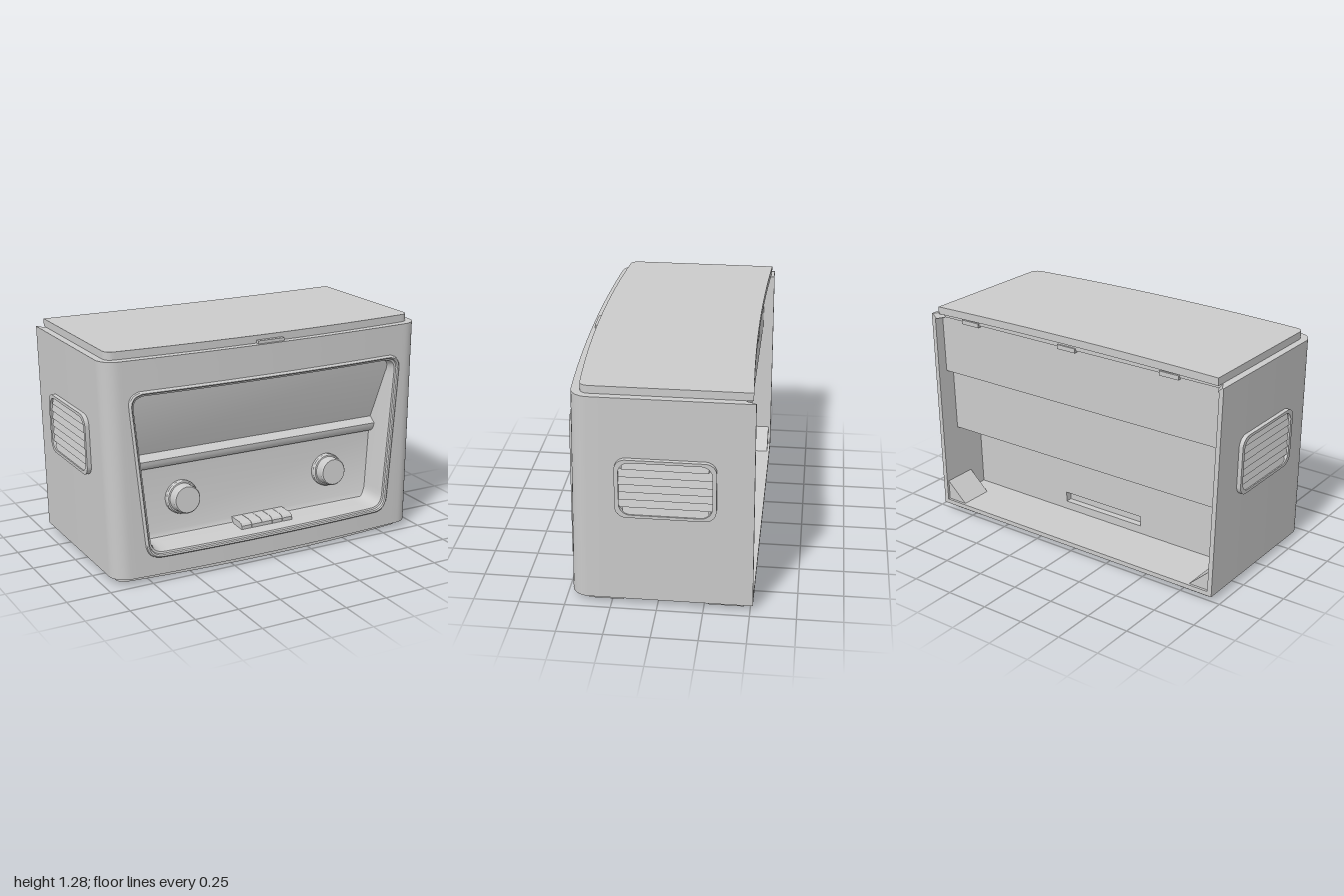
import * as THREE from 'three';
import { toCreasedNormals } from 'three/addons/utils/BufferGeometryUtils.js';

const material = new THREE.MeshStandardMaterial({ color: 0xcccccc, side: THREE.DoubleSide });

function add(parent, name, geometry, x = 0, y = 0, z = 0) {
  const mesh = new THREE.Mesh(geometry, material);
  mesh.name = name;
  mesh.position.set(x, y, z);
  parent.add(mesh);
  return mesh;
}
const box = (w, h, d) => new THREE.BoxGeometry(w, h, d);

// Cabinet half-width and bowed front surface with round vertical corners
const BOTTOM = 0.036, TOP = 1.24, CORNER = 0.09;
const width = (y) => 0.956 + 0.03 * (y - BOTTOM) / (TOP - BOTTOM);
function frontZ(x, y) {
  const w = width(y);
  const a = THREE.MathUtils.clamp(w - Math.abs(x), 0, CORNER);
  const round = CORNER - Math.sqrt(CORNER ** 2 - (CORNER - a) ** 2);
  return 0.502 - 0.025 * (y - BOTTOM) - 0.037 * (x / w) ** 2 - round;
}

// Rounded trapezoid loop, counter-clockwise, samples packed near the corners
function ring(y0, y1, w0, w1, r) {
  const n = 24, points = [];
  const W = (w0 + w1) / 2, H = (y1 - y0) / 2;
  for (let side = 0; side < 4; side++) {
    for (let i = 0; i < n; i++) {
      const s = Math.sin((i / n - 0.5) * Math.PI);
      const [u, v] = [[s, -1], [1, s], [-s, 1], [-1, -s]][side];
      let x = u * W, y = v * H;
      const cx = THREE.MathUtils.clamp(x, r - W, W - r);
      const cy = THREE.MathUtils.clamp(y, r - H, H - r);
      const d = Math.hypot(x - cx, y - cy);
      if (x !== cx && y !== cy) {
        x = cx + (x - cx) / d * r;
        y = cy + (y - cy) / d * r;
      }
      x *= (w0 + (w1 - w0) * (y / H + 1) / 2) / W;
      points.push({ x, y: y + (y0 + y1) / 2, u, v });
    }
  }
  return points;
}
const opening = (d) => ring(0.133 + d, 1.072 - d, 0.772 - d, 0.857 - d, 0.075 - d * 0.4);
const cabinetRing = (d, dy) => ring(BOTTOM + dy, TOP - dy, width(BOTTOM) - d, width(TOP) - d, 0);
const lift = (loop, rule) => loop.map((p) => new THREE.Vector3(p.x, p.y, rule(p)));

// Skin a list of closed loops
function loft(loops) {
  const n = loops[0].length, index = [];
  for (let i = 0; i < loops.length - 1; i++) {
    for (let j = 0; j < n; j++) {
      const k = (j + 1) % n;
      const a = i * n + j, b = a + n, c = (i + 1) * n + k, d = i * n + k;
      index.push(a, b, c, a, c, d);
    }
  }
  const geometry = new THREE.BufferGeometry().setFromPoints(loops.flat());
  geometry.setIndex(index);
  return toCreasedNormals(geometry, 0.6);
}

// Flat slab from a plan with bowed front, round front corners and hollowed back
function slab(w, back, corner, bow, r, hollow, height) {
  const s = new THREE.Shape();
  s.moveTo(-w, -back);
  s.lineTo(-w, -corner + r);
  s.quadraticCurveTo(-w, -corner, -w + r, -corner - 0.004);
  s.quadraticCurveTo(0, -corner - 2 * bow, w - r, -corner - 0.004);
  s.quadraticCurveTo(w, -corner, w, -corner + r);
  s.lineTo(w, -back);
  s.quadraticCurveTo(0, -back - 2 * hollow, -w, -back);
  const g = new THREE.ExtrudeGeometry(s, { depth: height, bevelEnabled: false, curveSegments: 16 });
  return toCreasedNormals(g.rotateX(-Math.PI / 2), 0.5);
}

// Block with a (z, y) profile running across the cabinet
function acrossBlock(profile, halfWidth) {
  const s = new THREE.Shape(profile.map(([z, y]) => new THREE.Vector2(-z, y)));
  const g = new THREE.ExtrudeGeometry(s, { depth: 2, bevelEnabled: false });
  g.translate(0, 0, -1).rotateY(Math.PI / 2);
  const p = g.attributes.position;
  for (let i = 0; i < p.count; i++) p.setX(i, p.getX(i) * halfWidth(p.getY(i)));
  return toCreasedNormals(g, 0.5);
}

const polygon = (Type, points) => new Type(points.map(([x, y]) => new THREE.Vector2(x, y)));

function roundedRect(target, w, h, r) {
  const x = w / 2, y = h / 2;
  target.absarc(x - r, y - r, r, 0, Math.PI / 2);
  target.absarc(r - x, y - r, r, Math.PI / 2, Math.PI);
  target.absarc(r - x, r - y, r, Math.PI, Math.PI * 1.5);
  target.absarc(x - r, r - y, r, Math.PI * 1.5, Math.PI * 2);
  target.closePath();
  return target;
}

export function createModel() {
  const radio = new THREE.Group();
  radio.name = 'tableRadio';

  // Cabinet: front around the opening, round corners, outer walls, open back, inner walls
  const onFront = (p) => frontZ(p.x, p.y);
  const hole = opening(0.02), flatEdge = cabinetRing(CORNER, 0);
  const face = [0, 0.33, 0.67].map((t) => lift(hole.map((p, i) => ({
    x: p.x + (flatEdge[i].x - p.x) * t,
    y: p.y + (flatEdge[i].y - p.y) * t,
  })), onFront));
  for (let i = 0; i <= 8; i++) {
    face.push(lift(cabinetRing(CORNER * (1 - Math.sin(i / 8 * Math.PI / 2)), 0), onFront));
  }
  const backZ = (p) => (p.v === 1 && Math.abs(p.u) < 0.97 ? -0.455 : -0.515 + 0.008 * p.y);
  const inner = cabinetRing(0.026, 0.026);
  add(radio, 'cabinet', loft([...face, lift(cabinetRing(0, 0), backZ), lift(inner, backZ), lift(inner, () => 0.3)]));

  // Raised bezel and the walls of the recess: [inset, height above the front]
  const bezel = [[0.044, -0.25], [0.037, -0.04], [0.03, -0.004], [0.021, 0], [0.018, 0.012],
    [0.011, 0.017], [0.004, 0.011], [0, -0.005]];
  add(radio, 'bezel', loft(bezel.map(([d, h]) => lift(opening(d), (p) => onFront(p) + h))));

  // Recessed front panel: sloping dial, overhanging bar, knob panel, curved sill
  add(radio, 'frontPanel', acrossBlock([
    [0.1, 0.1], [0.45, 0.1], [0.45, 0.148], [0.4, 0.154], [0.35, 0.165], [0.32, 0.18], [0.307, 0.205],
    [0.285, 0.575], [0.305, 0.581], [0.32, 0.594], [0.328, 0.612], [0.33, 0.632], [0.285, 0.662],
    [0.405, 1.045], [0.405, 1.1], [0.1, 1.1],
  ], () => 0.84));

  // Inner housing seen through the open back
  add(radio, 'innerHousing', acrossBlock([
    [0.25, 0.05], [-0.15, 0.05], [-0.15, 0.4], [-0.19, 0.4], [-0.19, 0.43], [-0.198, 0.46],
    [-0.22, 0.482], [-0.25, 0.49], [-0.39, 0.495], [-0.39, 0.875], [-0.445, 0.875], [-0.445, 1.23], [0.25, 1.23],
  ], (y) => width(y) - 0.015));

  // Slotted plate at the back of the housing
  const plate = polygon(THREE.Shape, [[-0.94, 0.05], [0.94, 0.05], [0.94, 0.4], [-0.94, 0.4]]);
  plate.holes.push(polygon(THREE.Path, [[-0.27, 0.11], [-0.27, 0.17], [0.27, 0.17], [0.27, 0.11]]));
  add(radio, 'slottedPlate', new THREE.ExtrudeGeometry(plate, { depth: 0.045, bevelEnabled: false }), 0, 0, -0.19);

  // Lid, its front catch and the rear clips
  add(radio, 'lid', slab(0.945, -0.49, 0.39, 0.04, 0.05, 0.025, 0.043), 0, TOP, 0);
  add(radio, 'lidCatch', box(0.16, 0.022, 0.03), 0, 1.246, 0.44);
  for (const x of [-0.63, 0.04, 0.73]) add(radio, 'lidClip', box(0.12, 0.025, 0.03), x, 1.215, -0.45);

  // Knobs, tilted with their panel
  for (const x of [-0.48, 0.465]) {
    const knob = new THREE.Group();
    knob.name = 'knob';
    const profile = [[0, 0], [0.095, 0], [0.095, 0.022], [0.088, 0.032], [0.081, 0.034],
      [0.079, 0.085], [0.073, 0.093], [0, 0.093]].map(([r, y]) => new THREE.Vector2(r, y));
    add(knob, 'knobBody', toCreasedNormals(new THREE.LatheGeometry(profile, 40), 0.6));
    knob.position.set(x, 0.386, 0.295);
    knob.rotation.x = Math.PI / 2 - 0.1;
    radio.add(knob);
  }

  // Row of five keys
  for (let i = -2; i <= 2; i++) {
    add(radio, 'key', acrossBlock([[-0.08, -0.035], [0.04, -0.035], [0.04, 0], [0.03, 0.012],
      [0.01, 0.018], [-0.08, 0.018]], () => 0.032), i * 0.066, 0.191, 0.385);
  }

  for (const s of [1, -1]) {
    // Side grille: flat frame with louvres
    const grille = new THREE.Group();
    grille.name = 'sideGrille';
    const frame = roundedRect(new THREE.Shape(), 0.53, 0.342, 0.06);
    frame.holes.push(roundedRect(new THREE.Path(), 0.487, 0.308, 0.06));
    add(grille, 'grilleFrame', toCreasedNormals(new THREE.ExtrudeGeometry(frame, {
      depth: 0.03, bevelEnabled: false, curveSegments: 8,
    }), 0.5));
    for (let i = 0; i < 7; i++) {
      const louvre = add(grille, 'louvre', box(i % 6 ? 0.487 : 0.45, 0.046, 0.008), 0, (i - 3) * 0.0445, 0.014);
      louvre.rotation.x = -0.25;
    }
    grille.position.set(s * 0.967, 0.731, -0.05);
    grille.rotation.set(0.025, s * Math.PI / 2, 0, 'YXZ');
    radio.add(grille);

    // Corner gusset inside and rear foot below
    const wedge = polygon(THREE.Shape, [[0, 0], [-s * 0.13, 0], [0, 0.12]]);
    add(radio, 'cornerGusset', new THREE.ExtrudeGeometry(wedge, { depth: 0.2, bevelEnabled: false }), s * 0.935, 0.06, -0.5);
    add(radio, 'rearFoot', box(0.2, 0.038, 0.195), s * 0.81, 0.019, -0.3675);
  }

  // Full-width front foot
  add(radio, 'frontFoot', slab(0.912, 0.19, 0.41, 0.05, 0.06, 0, 0.038));
  return radio;
}
